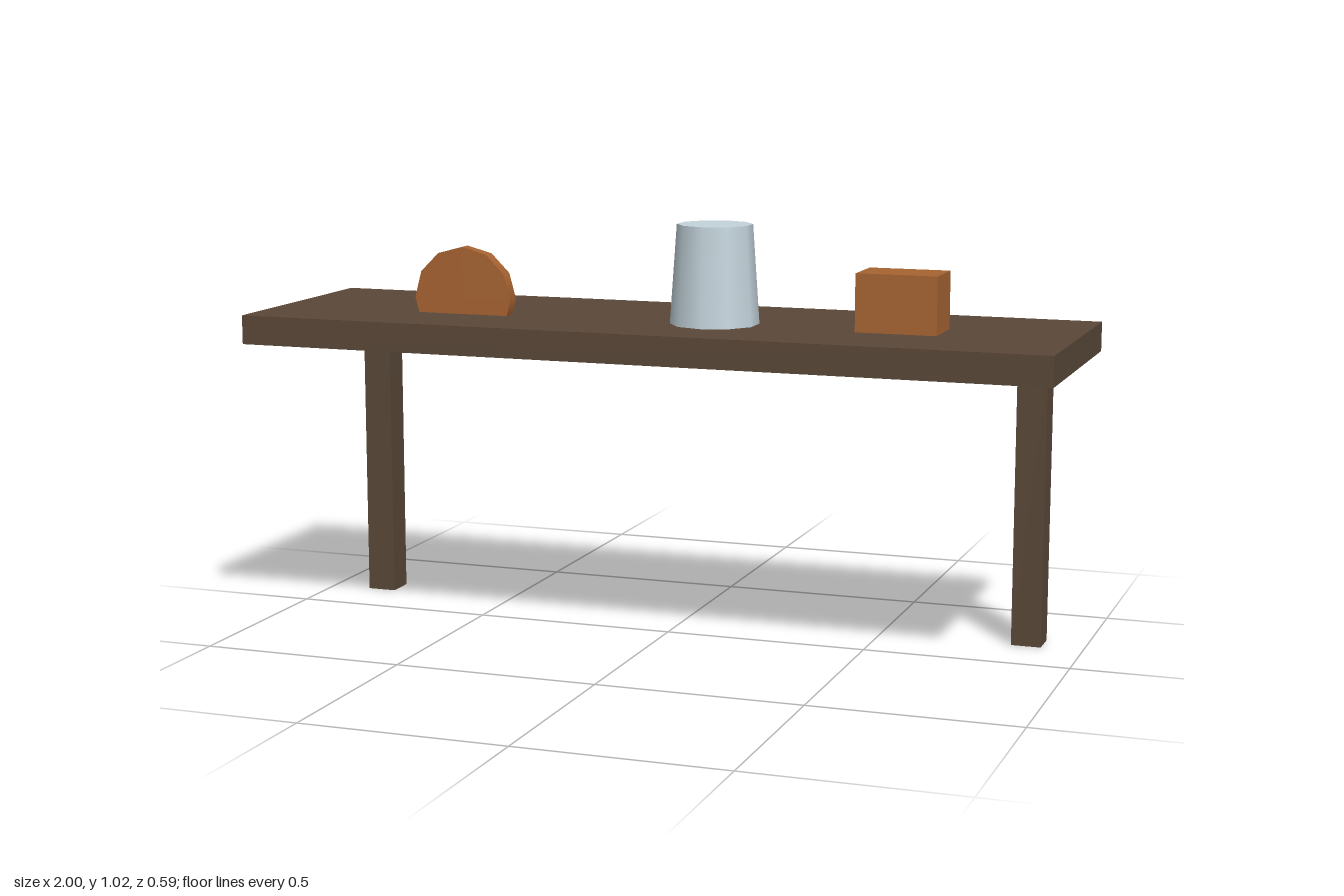
import * as THREE from 'three';

export function createModel() {
  const group = new THREE.Group();
  const wood = new THREE.MeshStandardMaterial({ color: 0x5a4838 });
  const orange = new THREE.MeshStandardMaterial({ color: 0xa86432 });
  const pale = new THREE.MeshStandardMaterial({ color: 0xc4d4dc });

  const add = (name, geometry, material, x, y, z) => {
    const mesh = new THREE.Mesh(geometry, material);
    mesh.name = name;
    mesh.position.set(x, y, z);
    group.add(mesh);
    return mesh;
  };

  const under = 0.711, top = 0.782; // underside and upper face of the shelf

  // Shelf board on two rear legs
  add('shelfBoard', new THREE.BoxGeometry(2, top - under, 0.59), wood, 0, (top + under) / 2, 0);
  for (const [name, side] of [['leftLeg', 1], ['rightLeg', -1]]) {
    add(name, new THREE.BoxGeometry(0.073, under, 0.073), wood, side * 0.862, under / 2, -0.199);
  }

  // Upright disc, sunk through the board
  const disc = add('disc', new THREE.CylinderGeometry(0.127, 0.127, 0.036, 12), orange, -0.502, 0.82, 0.073);
  disc.rotation.x = Math.PI / 2;

  // Tapered ten-sided cup
  add('cup', new THREE.CylinderGeometry(0.0905, 0.107, 1.02 - top, 10), pale, 0.135, (1.02 + top) / 2, 0.047);

  // Small block
  add('block', new THREE.BoxGeometry(0.195, 0.92 - top, 0.128), orange, 0.588, (0.92 + top) / 2, 0.019);

  return group;
}
